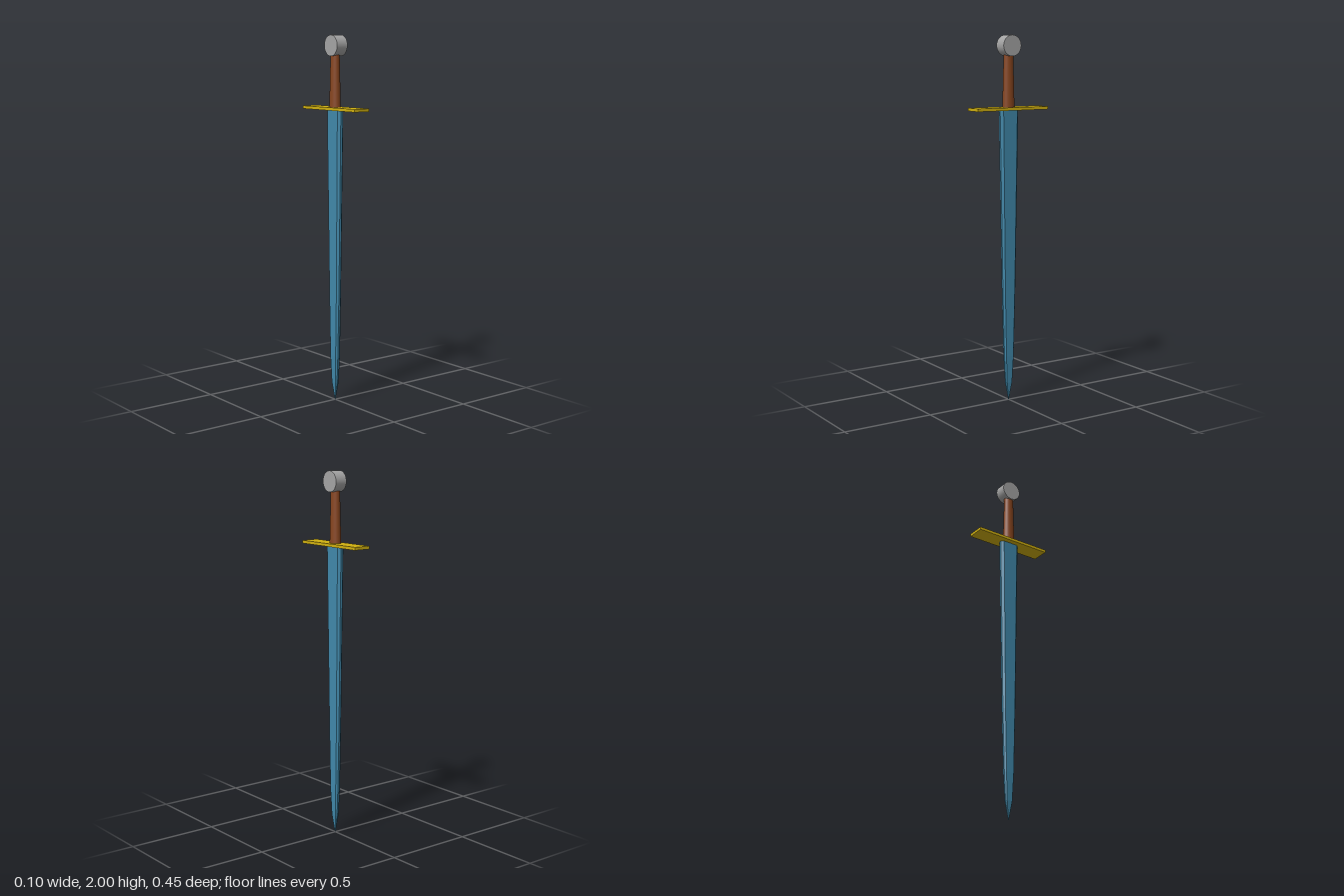
import * as THREE from 'three';

const material = (name, color, flatShading = false) => {
  const m = new THREE.MeshStandardMaterial({ color, flatShading });
  m.name = name;
  return m;
};

// Bevelled blade: one eight-cornered section, scaled along y and closed at the tip.
function bladeGeometry() {
  // height, half thickness (x), half width (z)
  const stations = [
    [0, 0.001, 0.001], [0.1, 0.011, 0.021], [0.25, 0.015, 0.03],
    [0.6, 0.016, 0.04], [1.605, 0.02, 0.058],
  ];
  const section = [
    [1, -0.76], [1, 0.76], [0.35, 1], [-0.35, 1],
    [-1, 0.76], [-1, -0.76], [-0.35, -1], [0.35, -1],
  ];
  const n = section.length;
  const positions = [];
  const index = [];
  for (const [y, hx, hz] of stations) {
    for (const [x, z] of section) positions.push(x * hx, y, z * hz);
  }
  for (let i = 0; i < stations.length - 1; i++) {
    for (let j = 0; j < n; j++) {
      const a = i * n + j;
      const b = i * n + (j + 1) % n;
      index.push(a, a + n, b, b, a + n, b + n);
    }
  }
  // End caps
  const top = (stations.length - 1) * n;
  for (let j = 1; j < n - 1; j++) {
    index.push(0, j, j + 1, top, top + j + 1, top + j);
  }
  const g = new THREE.BufferGeometry();
  g.setAttribute('position', new THREE.Float32BufferAttribute(positions, 3));
  g.setIndex(index);
  const flat = g.toNonIndexed();
  flat.computeVertexNormals();
  return flat;
}

export function createModel() {
  const group = new THREE.Group();
  group.name = 'sword';

  const add = (name, geometry, mat, x = 0, y = 0, z = 0) => {
    const mesh = new THREE.Mesh(geometry, mat);
    mesh.name = name;
    mesh.position.set(x, y, z);
    group.add(mesh);
    return mesh;
  };

  add('blade', bladeGeometry(), material('blue steel', 0x4088aa, true));

  // Flat crossguard, long in z
  add('crossguard', new THREE.BoxGeometry(0.098, 0.016, 0.449),
    material('gold', 0xd0b010), 0, 1.61, 0);

  // Tapered oval grip, running up into the pommel
  const grip = add('grip', new THREE.CylinderGeometry(0.027, 0.034, 0.29, 24),
    material('brown leather', 0x87451f), -0.001, 1.762, 0);
  grip.scale.x = 0.82;

  // Disc pommel with its axis along x
  const pommel = add('pommel', new THREE.CylinderGeometry(0.056, 0.056, 0.069, 32),
    material('grey metal', 0xa4a4a4), 0.004, 1.944, 0);
  pommel.rotation.z = Math.PI / 2;

  return group;
}
